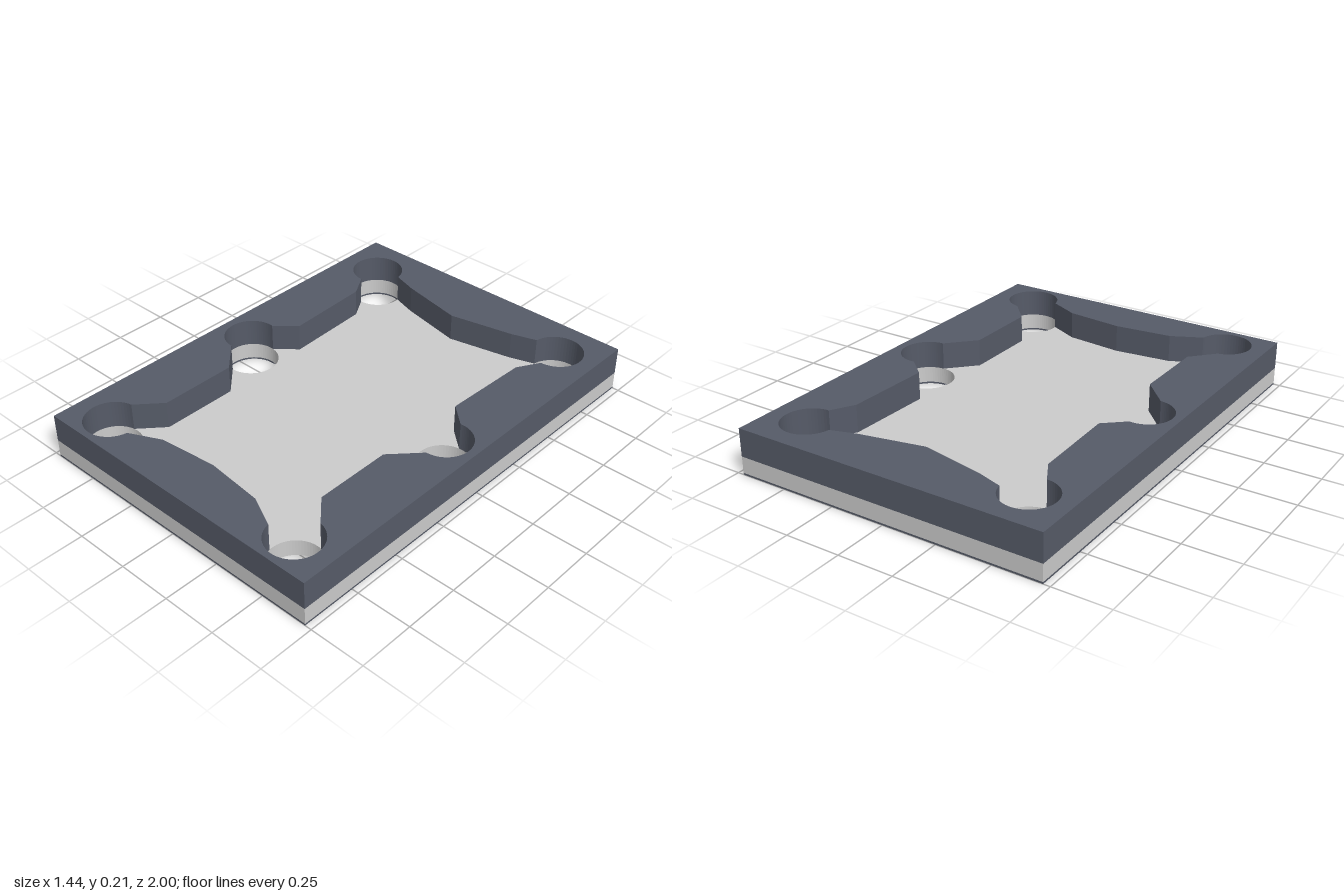
import * as THREE from 'three';

const HALF_W = 0.72, HALF_L = 1, HOLE_R = 0.12;
// bolt holes on the +x side: x, z, and the arc (degrees) left open to the pocket wall
const HOLES = [
  { x: 0.53, z: -0.8, from: 187, to: 450 },
  { x: 0.563, z: 0.026, from: -97, to: 89 },
  { x: 0.527, z: 0.852, from: -81, to: 172 },
];
// straight runs of the pocket wall before, between and after the holes
const RUNS = [
  [[0, -0.717], [0.296, -0.778]],
  [[0.47, -0.577], [0.455, -0.175]],
  [[0.447, 0.27], [0.447, 0.625]],
  [[0.267, 0.8], [0, 0.772]],
];

function plateShape() {
  return new THREE.Shape([
    [-HALF_W, -HALF_L], [HALF_W, -HALF_L], [HALF_W, HALF_L], [-HALF_W, HALF_L],
  ].map(([x, z]) => new THREE.Vector2(x, z)));
}

// pocket outline: wall runs joined by the outer arcs of the holes, then mirrored
function pocketPath() {
  const half = [];
  RUNS.forEach((run, i) => {
    run.forEach(([x, z]) => half.push(new THREE.Vector2(x, z)));
    const h = HOLES[i];
    if (!h) return;
    const steps = 40;
    for (let k = 0; k <= steps; k++) {
      const a = THREE.MathUtils.degToRad(h.from + (h.to - h.from) * k / steps);
      half.push(new THREE.Vector2(h.x + HOLE_R * Math.cos(a), h.z + HOLE_R * Math.sin(a)));
    }
  });
  const mirrored = half.slice(1, -1).reverse().map(p => new THREE.Vector2(-p.x, p.y));
  return new THREE.Path([...half, ...mirrored]);
}

// lay a shape flat (shape y becomes z) between two heights
function layer(name, shape, y0, y1, material) {
  const geometry = new THREE.ExtrudeGeometry(shape, { depth: y1 - y0, bevelEnabled: false, curveSegments: 32 });
  geometry.rotateX(Math.PI / 2);
  geometry.translate(0, y1, 0);
  const mesh = new THREE.Mesh(geometry, material);
  mesh.name = name;
  return mesh;
}

export function createModel() {
  const group = new THREE.Group();
  group.name = 'pocketedPlate';
  const dark = new THREE.MeshStandardMaterial({ color: 0x565b68 });
  const grey = new THREE.MeshStandardMaterial({ color: 0xcccccc });

  // frame with the pocket cut through it
  const frame = plateShape();
  frame.holes.push(pocketPath());

  // floor plate pierced by six round holes
  const floor = plateShape();
  for (const side of [1, -1]) {
    for (const h of HOLES) {
      floor.holes.push(new THREE.Path().absarc(side * h.x, h.z, HOLE_R, 0, Math.PI * 2));
    }
  }

  group.add(
    layer('bottomFrame', frame, 0, 0.008, dark),
    layer('floorPlate', floor, 0.008, 0.083, grey),
    layer('topFrame', frame, 0.083, 0.21, dark),
  );
  return group;
}
